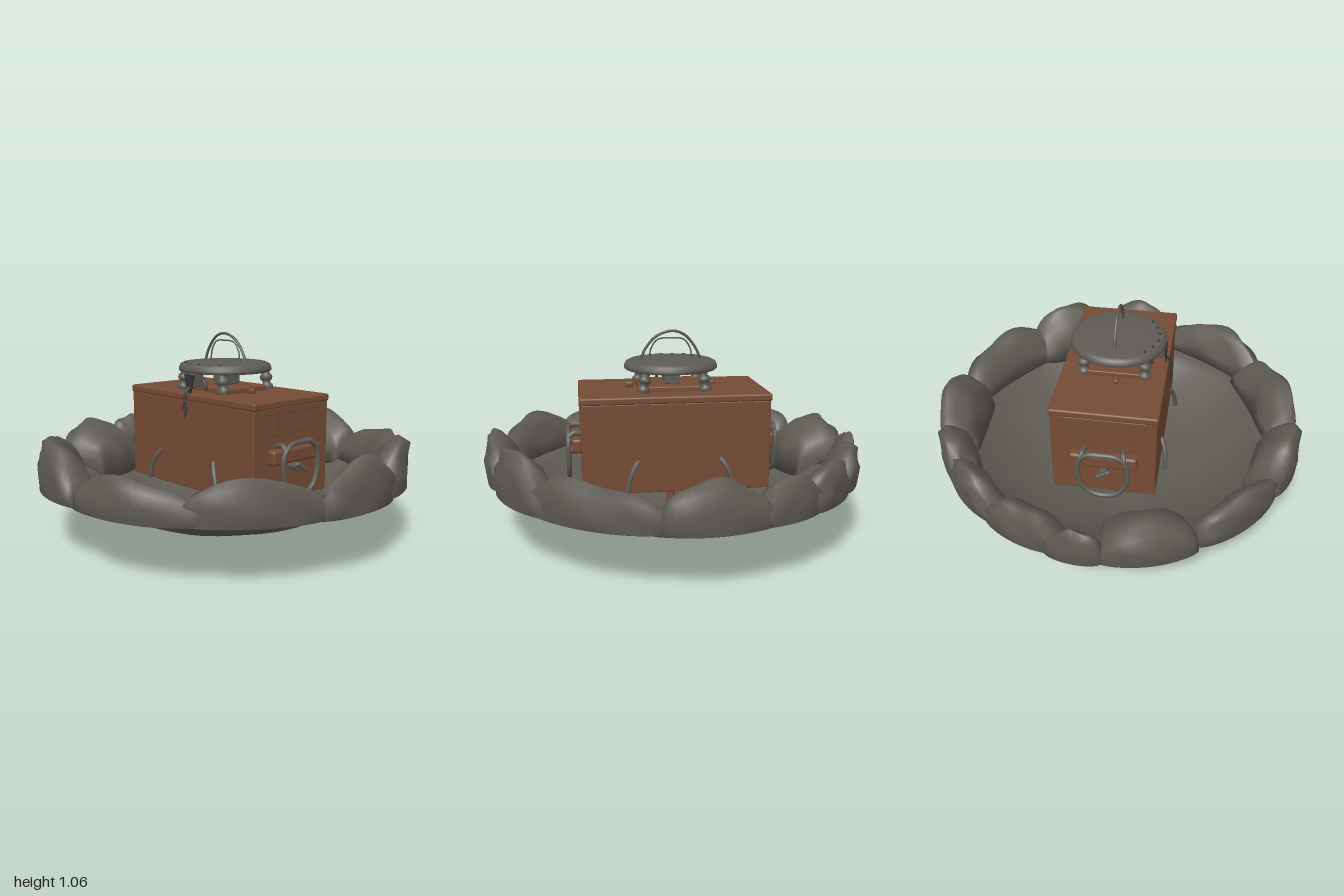
import * as THREE from 'three';
import { RoundedBoxGeometry } from 'three/addons/geometries/RoundedBoxGeometry.js';

const mat = (name, color) => {
  const m = new THREE.MeshStandardMaterial({ color, side: THREE.DoubleSide });
  m.name = name;
  return m;
};

const CX = 0.015; // the chest sits slightly off centre

// bowl profile: even curve, nearly level at the very rim
const bowlY = (r) => (r < 0.8 ? 0.05 + 0.22 * Math.pow(r / 0.8, 2.9) : 0.27 + 0.2 * (r - 0.8));
const wobble = (a, b, c) => Math.sin(a * 12.9 + c) * Math.cos(b * 9.7 + c * 2.3);

// Boulder swept along an arc of the rim, with blunt ends
function stoneGeometry([a0, a1, top, ri, ro], seed) {
  const N = 16, pos = [], idx = [];
  const skew = 0.8 + 0.4 * Math.abs(Math.sin(seed * 2.7));
  let M = 0;
  const put = (r, y, a) => pos.push(r * Math.cos(a), y, r * Math.sin(a));
  for (let i = 0; i <= N; i++) {
    const t = i / N;
    const wave = Math.sin(Math.PI * Math.pow(0.02 + 0.96 * t, skew));
    const s = Math.pow(wave, 0.35);
    const a = THREE.MathUtils.degToRad(a0 + (a1 - a0) * t);
    const h = 0.36 + (top - 0.36) * Math.pow(wave, 0.65) + 0.012 * wobble(t, 1, seed);
    const inner = ri + 0.05 * (1 - s), outer = ro - 0.04 * (1 - s);
    const w = outer - inner, k = h - 0.29;
    const mid = inner + w * 0.5;
    const loop = [
      [inner, bowlY(inner) + 0.003], [mid, bowlY(mid) - 0.003], [outer - 0.02, 0.288],
      [outer, 0.298], [outer, 0.29 + k * 0.45], [outer - w * 0.04, 0.29 + k * 0.82],
      [outer - w * 0.2, h], [outer - w * 0.42, h - k * 0.07],
      [inner + w * 0.28, 0.29 + k * 0.7], [inner + w * 0.09, 0.29 + k * 0.3],
    ];
    M = loop.length;
    loop.forEach(([r, y], j) => {
      const n = j > 3 ? 0.015 * wobble(t * 0.8, j, seed) : 0;
      put(r + n, y + n * 0.5, a);
    });
  }
  for (let i = 0; i < N; i++) for (let j = 0; j < M; j++) {
    const p0 = i * M + j, p1 = i * M + (j + 1) % M;
    idx.push(p0, p1, p1 + M, p0, p1 + M, p0 + M);
  }
  // end caps
  for (const [row, ang, flip] of [[0, a0, true], [N, a1, false]]) {
    const c = pos.length / 3;
    put((ri + ro) / 2 + 0.02, 0.31, THREE.MathUtils.degToRad(ang));
    for (let j = 0; j < M; j++) {
      const p = row * M + j, q = row * M + (j + 1) % M;
      if (flip) idx.push(c, q, p); else idx.push(c, p, q);
    }
  }
  const g = new THREE.BufferGeometry();
  g.setAttribute('position', new THREE.Float32BufferAttribute(pos, 3));
  g.setIndex(idx);
  g.computeVertexNormals();
  return g;
}

export function createModel() {
  const stone = mat('stone', 0x5f5b54);
  const wood = mat('brown wood', 0x754b35);
  const metal = mat('grey metal', 0x5e5b55);
  const dark = mat('dark metal', 0x383633);
  const root = new THREE.Group();

  const add = (name, geo, material, x = 0, y = 0, z = 0) => {
    const m = new THREE.Mesh(geo, material);
    m.name = name;
    m.position.set(x, y, z);
    root.add(m);
    return m;
  };
  const box = (name, material, w, h, d, x, y, z, r = 0.006) =>
    add(name, new RoundedBoxGeometry(w, h, d, 2, r), material, x, y, z);
  const tube = (name, material, pts, r, closed = false) =>
    add(name, new THREE.TubeGeometry(new THREE.CatmullRomCurve3(
      pts.map((p) => new THREE.Vector3(...p)), closed), 40, r, 8, closed), material);

  // shallow stone bowl
  const profile = [];
  for (let i = 0; i <= 30; i++) profile.push(new THREE.Vector2(0.88 * i / 30, bowlY(0.88 * i / 30)));
  const bowl = new THREE.LatheGeometry(profile, 72);
  const p = bowl.attributes.position;
  for (let i = 0; i < p.count; i++) {
    const x = p.getX(i), z = p.getZ(i);
    p.setY(i, p.getY(i) + 0.004 * wobble(x, z, 1) * Math.min(1, Math.hypot(x, z) * 3));
  }
  bowl.computeVertexNormals();
  add('bowl', bowl, stone);

  // rim boulders: start angle, end angle, height, inner and outer radius
  [
    [-15, 15, 0.55, 0.8, 0.99], [13, 54, 0.51, 0.84, 0.98], [48, 87.5, 0.49, 0.78, 0.99],
    [89, 116, 0.57, 0.75, 0.99], [115, 148, 0.5, 0.81, 0.98], [149, 177, 0.51, 0.69, 1.0],
    [176, 192, 0.49, 0.88, 1.0], [188, 214, 0.5, 0.78, 0.98], [210, 236, 0.51, 0.79, 0.97],
    [230, 253, 0.51, 0.78, 0.97], [249, 281, 0.54, 0.75, 0.98], [278, 325, 0.51, 0.79, 0.97],
    [316, 346, 0.57, 0.77, 0.98],
  ].forEach((s, i) => add('rimStone', stoneGeometry(s, i + 1), stone));

  // post carrying the chest, with a peg under the bowl
  add('post', new THREE.CylinderGeometry(0.022, 0.026, 0.22, 16), wood, CX, 0.16, 0);
  const peg = add('peg', new THREE.CylinderGeometry(0.02, 0.024, 0.07, 16), metal, CX, 0.037, 0);
  peg.rotation.x = 0.15;

  // chest body and overhanging lid
  box('chestBody', wood, 0.965, 0.465, 0.526, CX, 0.4925, -0.005);
  box('lid', wood, 0.977, 0.038, 0.537, CX, 0.741, -0.005, 0.01);
  for (const s of [-1, 1]) {
    // end panel, bracket, stud and ring handle
    const ex = CX + s * 0.4825;
    box('endPanel', wood, 0.008, 0.13, 0.26, ex, 0.655, 0, 0.003);
    box('endFlap', wood, 0.014, 0.03, 0.42, ex, 0.71, 0, 0.003);
    box('handleBracket', wood, 0.055, 0.075, 0.34, ex + s * 0.022, 0.49, 0, 0.015);
    const hx = ex + s * 0.066;
    tube('ringHandle', metal, [[hx, 0.55, -0.07], [hx, 0.555, 0], [hx, 0.55, 0.07],
      [hx, 0.51, 0.115], [hx, 0.41, 0.122], [hx, 0.32, 0.085], [hx, 0.29, 0],
      [hx, 0.32, -0.085], [hx, 0.41, -0.122], [hx, 0.51, -0.115]], 0.013, true);
    const stud = add('handleStud', new THREE.CylinderGeometry(0.022, 0.022, 0.08, 14), metal, ex + s * 0.03, 0.43, 0);
    stud.rotation.z = Math.PI / 2;
    const cross = add('studBar', new THREE.CapsuleGeometry(0.012, 0.06, 4, 10), metal, ex + s * 0.066, 0.43, 0);
    cross.rotation.x = Math.PI / 3;
    for (const k of [-1, 1]) {
      tube('handlePin', metal, [[ex, 0.54, k * 0.095], [ex + s * 0.035, 0.545, k * 0.1], [hx, 0.525, k * 0.105]], 0.014);
      // curved claws holding the chest
      tube('claw', metal, [[s * 0.21, 0.43, k * 0.258], [s * 0.235, 0.395, k * 0.276],
        [s * 0.26, 0.34, k * 0.288], [s * 0.275, 0.27, k * 0.293]], 0.012);
    }
    box('lidKnob', wood, 0.045, 0.03, 0.025, CX + s * 0.22, 0.772, 0.02, 0.01);
  }

  // raised wooden base below the plate
  box('plateBase', wood, 0.36, 0.03, 0.3, CX, 0.771, 0);
  box('plateCore', metal, 0.08, 0.07, 0.12, CX, 0.82, -0.01);

  // banded feet leaning inwards
  for (const sx of [-1, 1]) for (const z of [-0.155, 0.155]) {
    const foot = new THREE.LatheGeometry([[0.03, 0], [0.034, 0.012], [0.03, 0.024], [0.022, 0.03],
      [0.022, 0.045], [0.03, 0.05], [0.034, 0.062], [0.03, 0.074], [0.022, 0.08], [0.022, 0.105]]
      .map((q) => new THREE.Vector2(...q)), 18);
    const m = add('plateFoot', foot, metal, CX + sx * 0.162, 0.762, z);
    m.rotation.z = sx * 0.15;
  }

  // round plate with a steep edge
  const plate = [[0, 0.864], [0.2, 0.861], [0.238, 0.86], [0.246, 0.866], [0.246, 0.878],
    [0.238, 0.896], [0.222, 0.904], [0.18, 0.907], [0.1, 0.909], [0, 0.91]].map((q) => new THREE.Vector2(...q));
  add('plate', new THREE.LatheGeometry(plate, 56), metal, CX, 0, 0);
  for (let i = 0; i < 6; i++) {
    const a = Math.PI * (0.27 + i * 0.095);
    add('rivet', new THREE.CylinderGeometry(0.008, 0.008, 0.008, 10), dark,
      CX + 0.21 * Math.cos(a), 0.903, 0.21 * Math.sin(a));
  }

  // wire handles
  tube('outerWire', metal, [[CX - 0.163, 0.89, 0], [CX - 0.135, 0.96, 0], [CX - 0.075, 1.033, 0],
    [CX - 0.01, 1.055, 0], [CX + 0.075, 1.028, 0], [CX + 0.135, 0.96, 0], [CX + 0.163, 0.89, 0]], 0.007);
  tube('innerWire', metal, [[CX - 0.112, 0.9, 0], [CX - 0.105, 0.96, 0], [CX - 0.07, 1.01, 0],
    [CX, 1.018, 0], [CX + 0.07, 1.01, 0], [CX + 0.105, 0.96, 0], [CX + 0.112, 0.9, 0]], 0.004);

  // front clasp with pointed flap and hanging loop
  box('claspBlock', metal, 0.05, 0.07, 0.07, CX, 0.825, 0.205);
  add('claspArch', new THREE.TorusGeometry(0.055, 0.008, 8, 20, Math.PI), dark, CX, 0.775, 0.18);
  const flap = new THREE.Shape([[-0.04, 0.855], [-0.006, 0.75], [0.006, 0.75], [0.04, 0.855]]
    .map((q) => new THREE.Vector2(...q)));
  add('claspFlap', new THREE.ExtrudeGeometry(flap, { depth: 0.008, bevelEnabled: false }), dark, CX, 0, 0.242);
  tube('claspStrap', dark, [[CX, 0.79, 0.25], [CX, 0.765, 0.27], [CX, 0.74, 0.277], [CX, 0.72, 0.278]], 0.007);
  tube('hangingLoop', dark, [[CX, 0.73, 0.276], [CX - 0.012, 0.68, 0.279], [CX, 0.645, 0.281],
    [CX + 0.012, 0.68, 0.279]], 0.005, true);

  return root;
}
